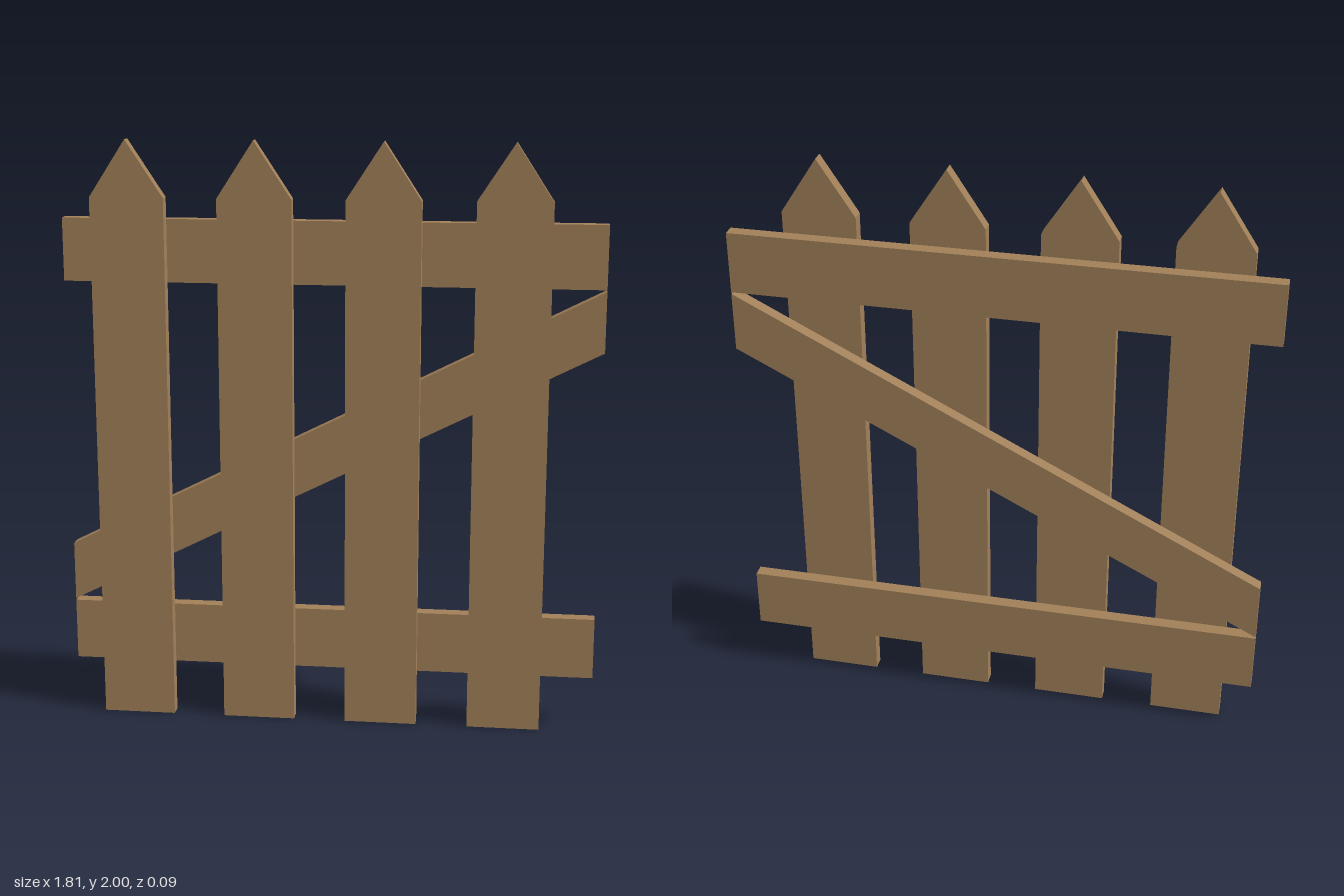
import * as THREE from 'three';

const DEPTH = 0.045;

export function createModel() {
  const group = new THREE.Group();
  group.name = 'picketFence';
  const wood = new THREE.MeshStandardMaterial({ color: 0xa07f58 });
  wood.name = 'wood';

  // A flat board cut from an outline, its back face at z
  function board(name, points, z) {
    const shape = new THREE.Shape(points.map(([x, y]) => new THREE.Vector2(x, y)));
    const geometry = new THREE.ExtrudeGeometry(shape, { depth: DEPTH, bevelEnabled: false });
    const mesh = new THREE.Mesh(geometry, wood);
    mesh.name = name;
    mesh.position.z = z;
    group.add(mesh);
  }

  // Pointed pickets in front
  const half = 0.124;
  for (let i = 0; i < 4; i++) {
    const x = -0.674 + i * 0.425;
    board('picket' + (i + 1), [
      [x - half, 0], [x + half, 0], [x + half, 1.81], [x, 2], [x - half, 1.81],
    ], 0);
  }

  // Horizontal rails and the diagonal brace behind, all cut flush at the ends
  const end = 0.904;
  const crossBoard = (name, leftY, rightY, height) => board(name, [
    [-end, leftY], [end, rightY], [end, rightY + height], [-end, leftY + height],
  ], -DEPTH);
  crossBoard('lowerRail', 0.18, 0.18, 0.212);
  crossBoard('upperRail', 1.525, 1.525, 0.212);
  crossBoard('diagonalBrace', 0.398, 1.316, 0.203);

  return group;
}
